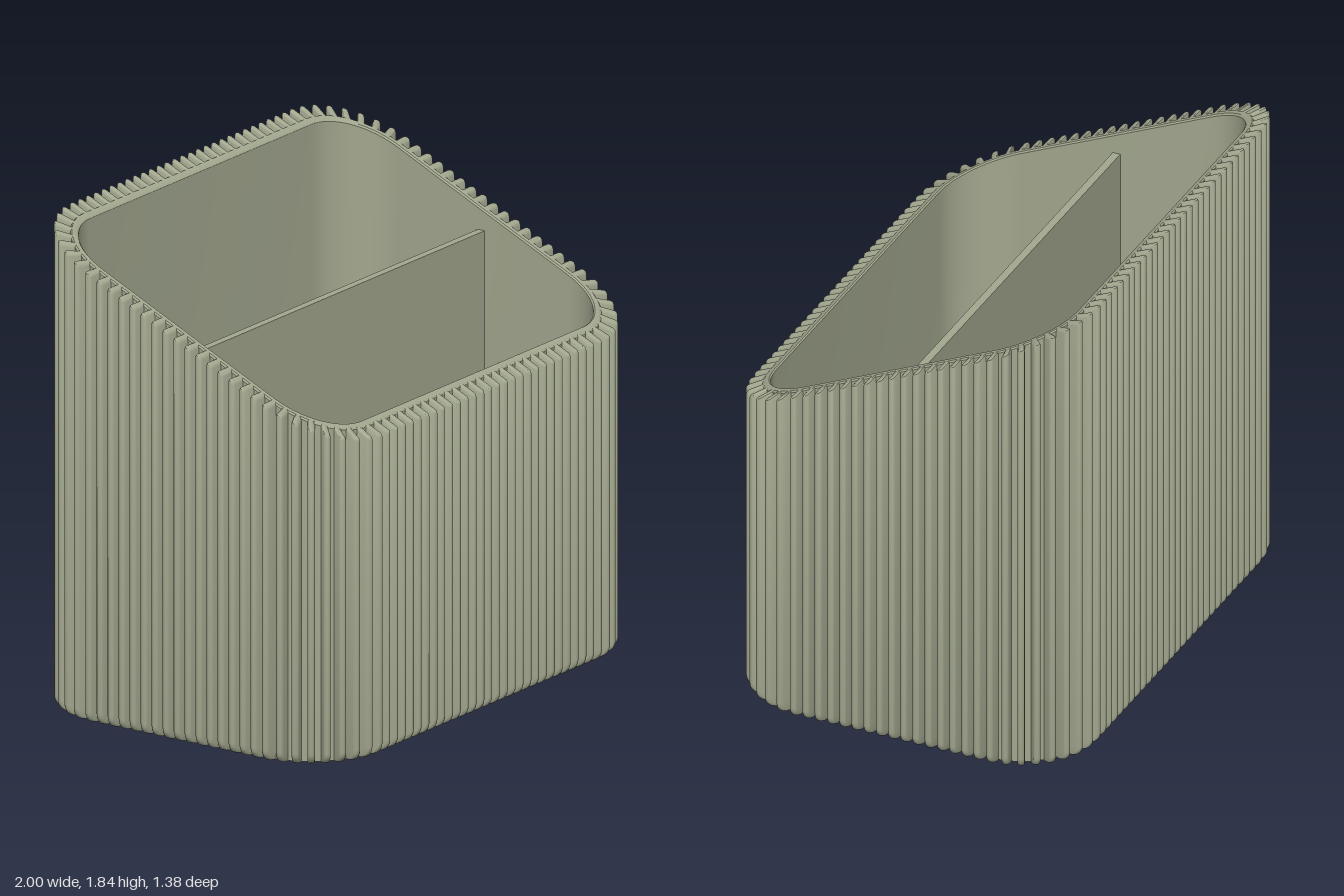
import * as THREE from 'three';
import { mergeGeometries, toCreasedNormals } from 'three/addons/utils/BufferGeometryUtils.js';

const HX = 0.69, HZ = 0.38, R = 0.25;   // straight half-lengths and corner radius of the wall
const RIB_DEPTH = 0.06, RIB_HALF = 0.0135;
const rimY = (z) => 1.53 - 0.4565 * z;  // sloping rim plane

// Skin a list of equal-length rings (counter-clockwise from above), capped at both ends.
function loft(rings) {
  const n = rings[0].length, pos = [], idx = [];
  rings.forEach((r) => r.forEach((p) => pos.push(p.x, p.y, p.z)));
  for (let i = 0; i < rings.length - 1; i++) {
    for (let j = 0; j < n; j++) {
      const a = i * n + j, b = i * n + (j + 1) % n;
      idx.push(a, b, b + n, a, b + n, a + n);
    }
  }
  const last = (rings.length - 1) * n;
  for (let j = 1; j < n - 1; j++) {
    idx.push(0, j + 1, j);
    idx.push(last, last + j, last + j + 1);
  }
  const g = new THREE.BufferGeometry();
  g.setAttribute('position', new THREE.Float32BufferAttribute(pos, 3));
  g.setIndex(idx);
  return g;
}

// Rounded-rectangle ring offset from the outer wall; height is a function of z.
function wallRing(offset, height) {
  const pts = [];
  [[1, -1], [-1, -1], [-1, 1], [1, 1]].forEach(([sx, sz], q) => {
    for (let k = 0; k <= 14; k++) {
      const t = (q + k / 14) * Math.PI / 2;
      const x = sx * HX + (R + offset) * Math.cos(t);
      const z = sz * HZ - (R + offset) * Math.sin(t);
      pts.push(new THREE.Vector3(x, height(z), z));
    }
  });
  return pts;
}

// One vertical fin at wall point (px, pz) with outward normal (nx, nz).
function ribGeometry(px, pz, nx, nz) {
  const ring = (depth, half, height) => {
    const uv = [[-half, -0.012]];
    uv.push([half, -0.012]);
    for (let k = 0; k <= 6; k++) {
      const t = k / 6 * Math.PI;
      uv.push([half * Math.cos(t), depth - half + half * Math.sin(t)]);
    }
    return uv.map(([u, v]) => {
      const x = px + nx * v + nz * u, z = pz + nz * v - nx * u;
      return new THREE.Vector3(x, height(z), z);
    }).reverse();
  };
  const rings = [];
  const r = 0.045;
  for (let k = 0; k <= 5; k++) {         // rounded foot
    const a = k / 5 * Math.PI / 2;
    rings.push(ring(RIB_DEPTH - r + r * Math.sin(a), RIB_HALF, () => r * (1 - Math.cos(a))));
  }
  rings.push(ring(RIB_DEPTH, RIB_HALF, (z) => rimY(z) - 0.01));
  rings.push(ring(RIB_DEPTH - 0.002, RIB_HALF - 0.003, (z) => rimY(z) - 0.003));
  rings.push(ring(RIB_DEPTH - 0.007, RIB_HALF - 0.007, rimY));
  return loft(rings);
}

// Fins spaced evenly along one quarter of the perimeter and mirrored to the others.
function ribsGeometry() {
  const arc = R * Math.PI / 2, quarter = HX + HZ + arc, count = 30, ribs = [];
  for (let i = 0; i <= count; i++) {
    const s = i / count * quarter;
    const t = THREE.MathUtils.clamp((s - HZ) / R, 0, Math.PI / 2);
    const nx = Math.cos(t), nz = Math.sin(t);
    const x = HX + R * nx - Math.max(0, s - HZ - arc);
    const z = HZ + R * nz - Math.max(0, HZ - s);
    for (const sx of i === count ? [1] : [1, -1]) {
      for (const sz of i === 0 ? [1] : [1, -1]) {
        ribs.push(ribGeometry(sx * x, sz * z, sx * nx, sz * nz));
      }
    }
  }
  return mergeGeometries(ribs);
}

export function createModel() {
  const group = new THREE.Group();
  group.name = 'ribbedOrganizer';
  const material = new THREE.MeshStandardMaterial({ color: 0xa3a88f });
  const add = (name, geometry) => {
    const mesh = new THREE.Mesh(geometry, material);
    mesh.name = name;
    group.add(mesh);
    return mesh;
  };

  // Hollow box: up the outside, over the softened rim, down the inside to the floor
  const shell = loft([
    wallRing(0, () => 0),
    wallRing(0, (z) => rimY(z) - 0.006),
    wallRing(-0.006, rimY),
    wallRing(-0.024, rimY),
    wallRing(-0.03, (z) => rimY(z) - 0.006),
    wallRing(-0.03, () => 0.04),
  ]);
  add('shell', toCreasedNormals(shell, 0.6));

  add('ribs', toCreasedNormals(ribsGeometry(), 0.7));

  // Partition between the front and back compartments
  const divider = add('divider', new THREE.BoxGeometry(1.84, 1.42, 0.03));
  divider.position.set(0, 0.74, -0.005);

  return group;
}
